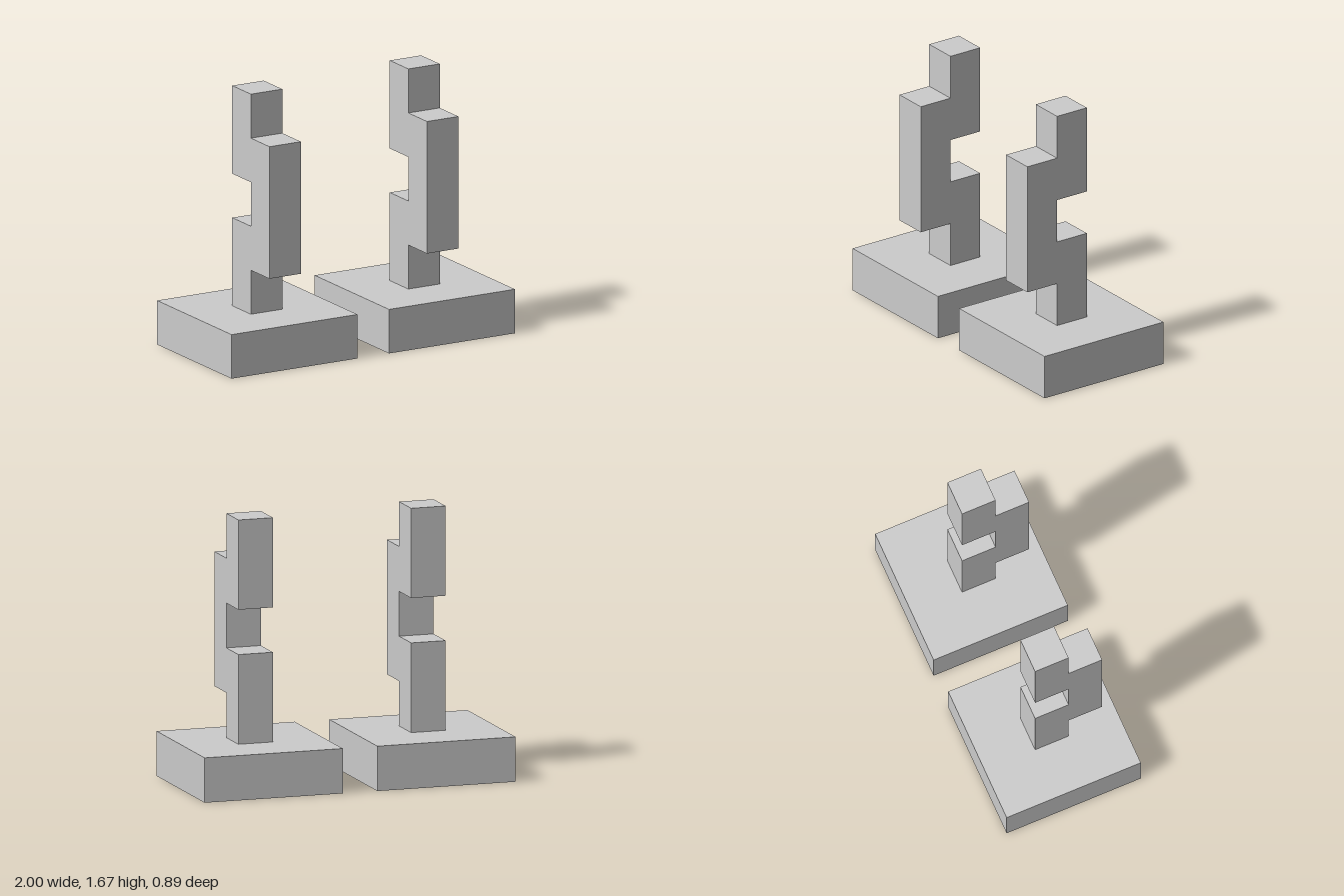
import * as THREE from 'three';

const U = 1 / 9; // design module
const material = new THREE.MeshStandardMaterial({ color: 0xcccccc, flatShading: true });

// Stepped post outline as [z, y] in modules, extruded across x
const PROFILE = [
  [-1, 2.5], [1, 2.5], [1, 5], [3, 5], [3, 12.5], [1, 12.5],
  [1, 15], [-1, 15], [-1, 10], [1, 10], [1, 7.5], [-1, 7.5],
];

function createStand(name, x) {
  const stand = new THREE.Group();
  stand.name = name;
  stand.position.x = x;

  // Square plinth
  const base = new THREE.Mesh(new THREE.BoxGeometry(8 * U, 2.5 * U, 8 * U), material);
  base.name = 'base';
  base.position.y = 1.25 * U;

  // Post with a forward offset middle and a notch at the back
  const shape = new THREE.Shape(PROFILE.map(([z, y]) => new THREE.Vector2(z * U, y * U)));
  const geometry = new THREE.ExtrudeGeometry(shape, { depth: 2 * U, bevelEnabled: false });
  geometry.translate(0, 0, -U).rotateY(-Math.PI / 2);
  const post = new THREE.Mesh(geometry, material);
  post.name = 'steppedPost';

  stand.add(base, post);
  return stand;
}

export function createModel() {
  const model = new THREE.Group();
  model.name = 'steppedPosts';
  model.add(createStand('leftStand', 5 * U), createStand('rightStand', -5 * U));
  return model;
}
